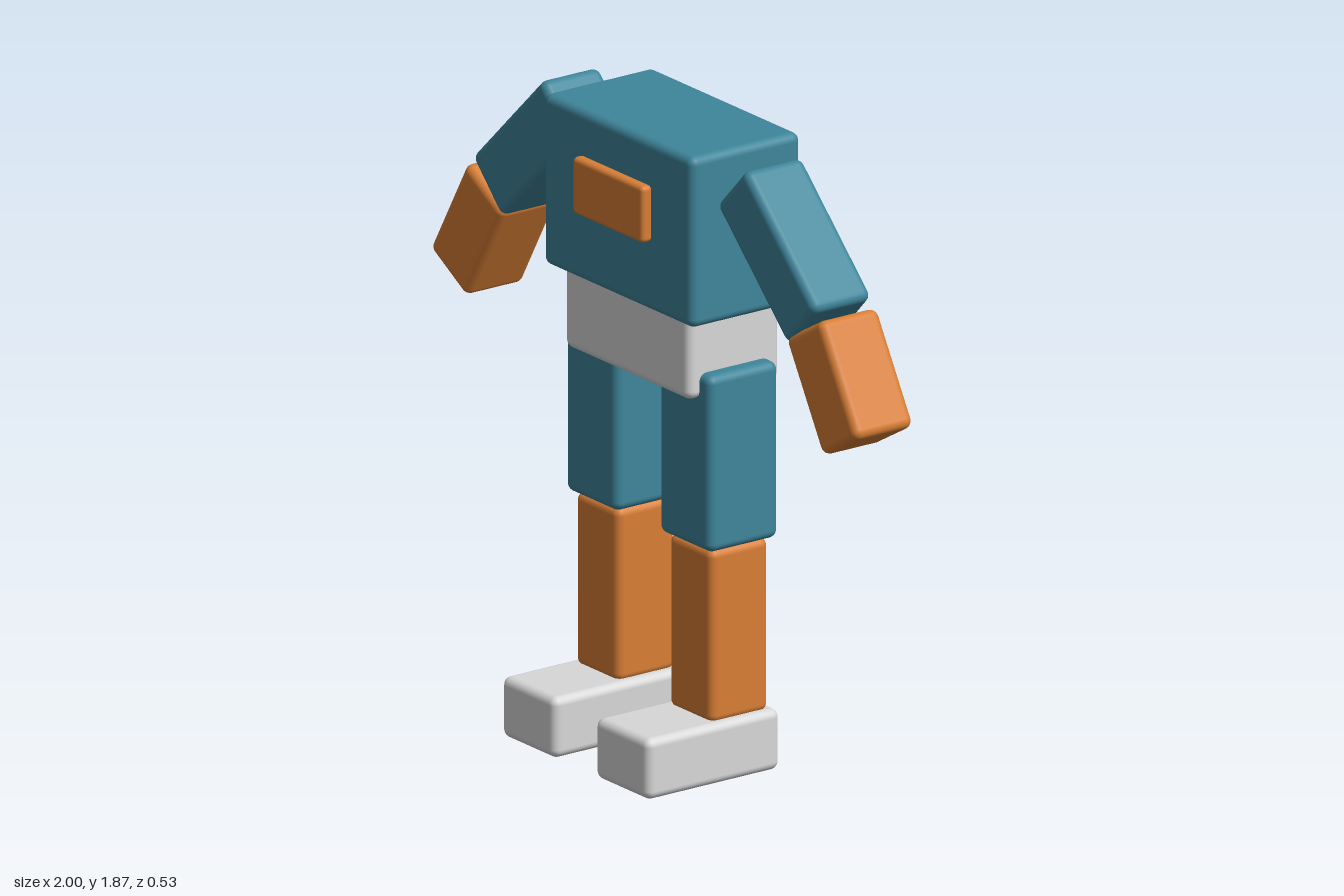
import * as THREE from 'three';
import { RoundedBoxGeometry } from 'three/addons/geometries/RoundedBoxGeometry.js';

const material = (name, color) => {
  const m = new THREE.MeshStandardMaterial({ color });
  m.name = name;
  return m;
};

export function createModel() {
  const teal = material('teal', 0x3f869b);
  const orange = material('orange', 0xd97f36);
  const grey = material('lightGrey', 0xd8d8d8);

  const model = new THREE.Group();
  model.name = 'blockFigure';
  const bodyZ = -0.074; // shared depth centre of torso and limbs

  // Soft-edged block: size and centre, with an optional tilt in the front plane
  const block = (name, mat, size, centre, tilt = 0, radius = 0.025) => {
    const mesh = new THREE.Mesh(new RoundedBoxGeometry(...size, 3, radius), mat);
    mesh.name = name;
    mesh.position.set(...centre);
    mesh.rotation.z = tilt;
    model.add(mesh);
  };

  // Trunk
  block('torso', teal, [0.7, 0.505, 0.382], [0, 1.618, bodyZ]);
  block('pelvis', grey, [0.585, 0.26, 0.32], [0, 1.26, bodyZ]);
  block('chestPlate', orange, [0.33, 0.168, 0.038], [0, 1.658, 0.133], 0, 0.014);

  // Mirrored limbs
  for (const [side, s] of [['left', 1], ['right', -1]]) {
    block(side + 'UpperArm', teal, [0.2, 0.465, 0.203], [s * 0.573, 1.624, bodyZ], s * THREE.MathUtils.degToRad(46));
    block(side + 'Forearm', orange, [0.2, 0.35, 0.203], [s * 0.833, 1.31, bodyZ], s * THREE.MathUtils.degToRad(30));
    block(side + 'Thigh', teal, [0.243, 0.522, 0.243], [s * 0.219, 0.945, bodyZ]);
    block(side + 'Shin', orange, [0.203, 0.515, 0.203], [s * 0.219, 0.427, bodyZ]);
    block(side + 'Foot', grey, [0.252, 0.18, 0.463], [s * 0.219, 0.09, 0.034]);
  }
  return model;
}
